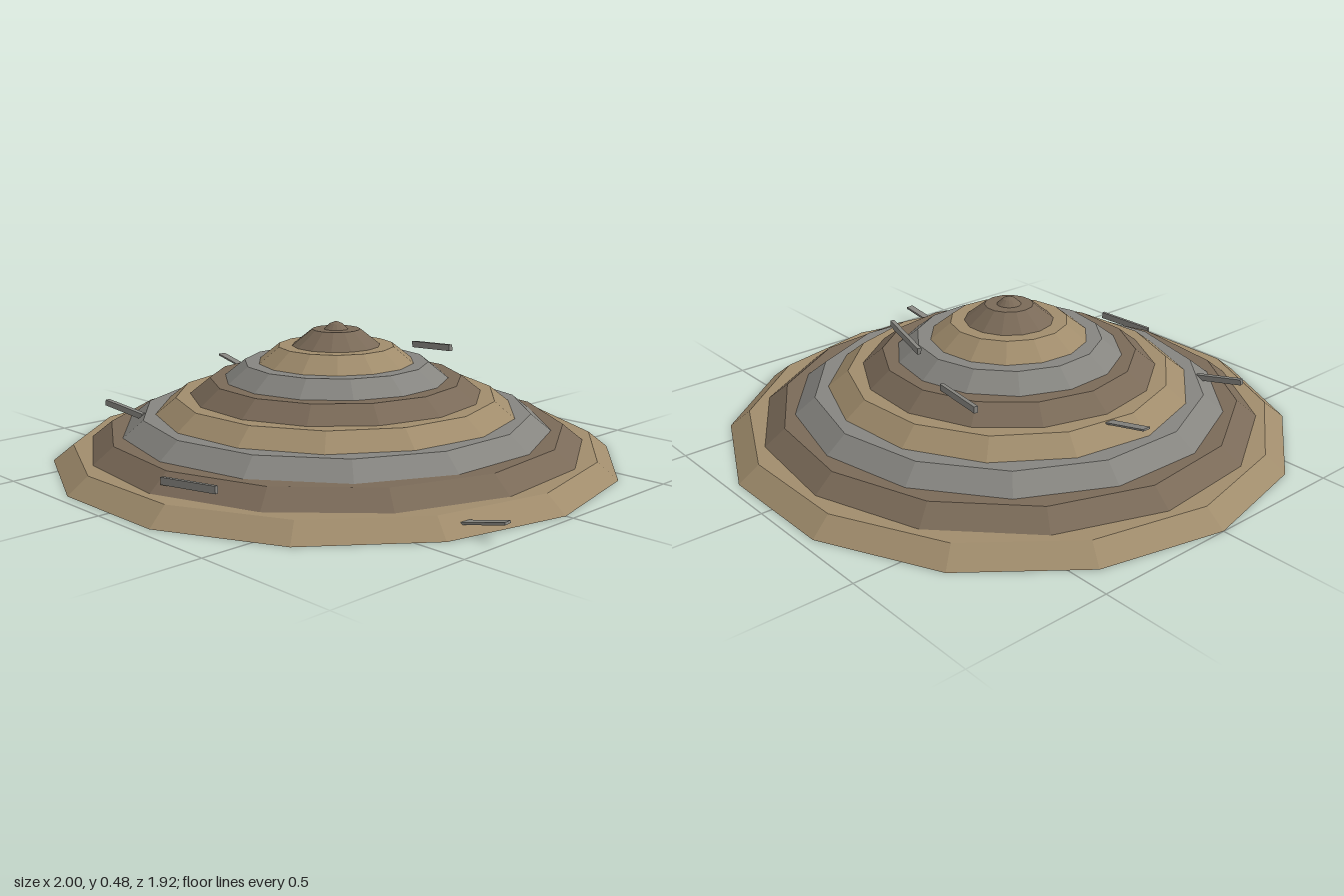
import * as THREE from 'three';

const SIDES = 14;
const CENTRE_X = -0.013;
const LAYER_H = 0.056;

function mat(color) {
  return new THREE.MeshStandardMaterial({ color, flatShading: true });
}

export function createModel() {
  const group = new THREE.Group();
  const add = (name, geometry, material) => {
    const mesh = new THREE.Mesh(geometry, material);
    mesh.name = name;
    group.add(mesh);
    return mesh;
  };

  const tan = mat(0xa08c6c);
  const brown = mat(0x7a6a58);
  const grey = mat(0x868580);
  const layerMats = [tan, brown, grey];

  // Stacked tapered layers, each twisted a little against the one below
  for (let i = 0; i < 8; i++) {
    const r = 0.987 - i * 0.119;
    const layer = add('moundLayer' + (i + 1),
      new THREE.CylinderGeometry(r - 0.07, r, LAYER_H, SIDES), layerMats[i % 3]);
    layer.position.set(CENTRE_X, (i + 0.5) * LAYER_H, 0);
    layer.rotation.y = Math.PI / SIDES - i * THREE.MathUtils.degToRad(7.15);
  }

  // Small domed knob on the summit
  const knob = [[0.042, 0], [0.022, 0.019], [0, 0.028]].map(p => new THREE.Vector2(...p));
  add('summitKnob', new THREE.LatheGeometry(knob, SIDES), brown)
    .position.set(CENTRE_X, 8 * LAYER_H, 0);

  // Loose slivers on the slopes: start, end, width across, height
  const slivers = [
    [[0.09, 0.094, 0.83], [0.31, 0.106, 0.795], 0.012, 0.024],
    [[0.80, 0.018, 0.335], [1.0, 0.06, 0.315], 0.03, 0.008],
    [[-0.72, 0.255, -0.055], [-0.53, 0.212, -0.055], 0.03, 0.006],
    [[-0.59, 0.182, 0.568], [-0.42, 0.154, 0.535], 0.018, 0.02],
    [[-0.365, 0.312, -0.438], [-0.14, 0.298, -0.395], 0.014, 0.022],
    [[0.03, 0.355, -0.355], [0.25, 0.376, -0.305], 0.014, 0.022],
  ];
  slivers.forEach(([from, to, width, height], i) => {
    const a = new THREE.Vector3(...from);
    const b = new THREE.Vector3(...to);
    const sliver = add('sliver' + (i + 1),
      new THREE.BoxGeometry(width, height, a.distanceTo(b)), grey);
    sliver.position.copy(a).lerp(b, 0.5);
    sliver.lookAt(b);
  });

  return group;
}
